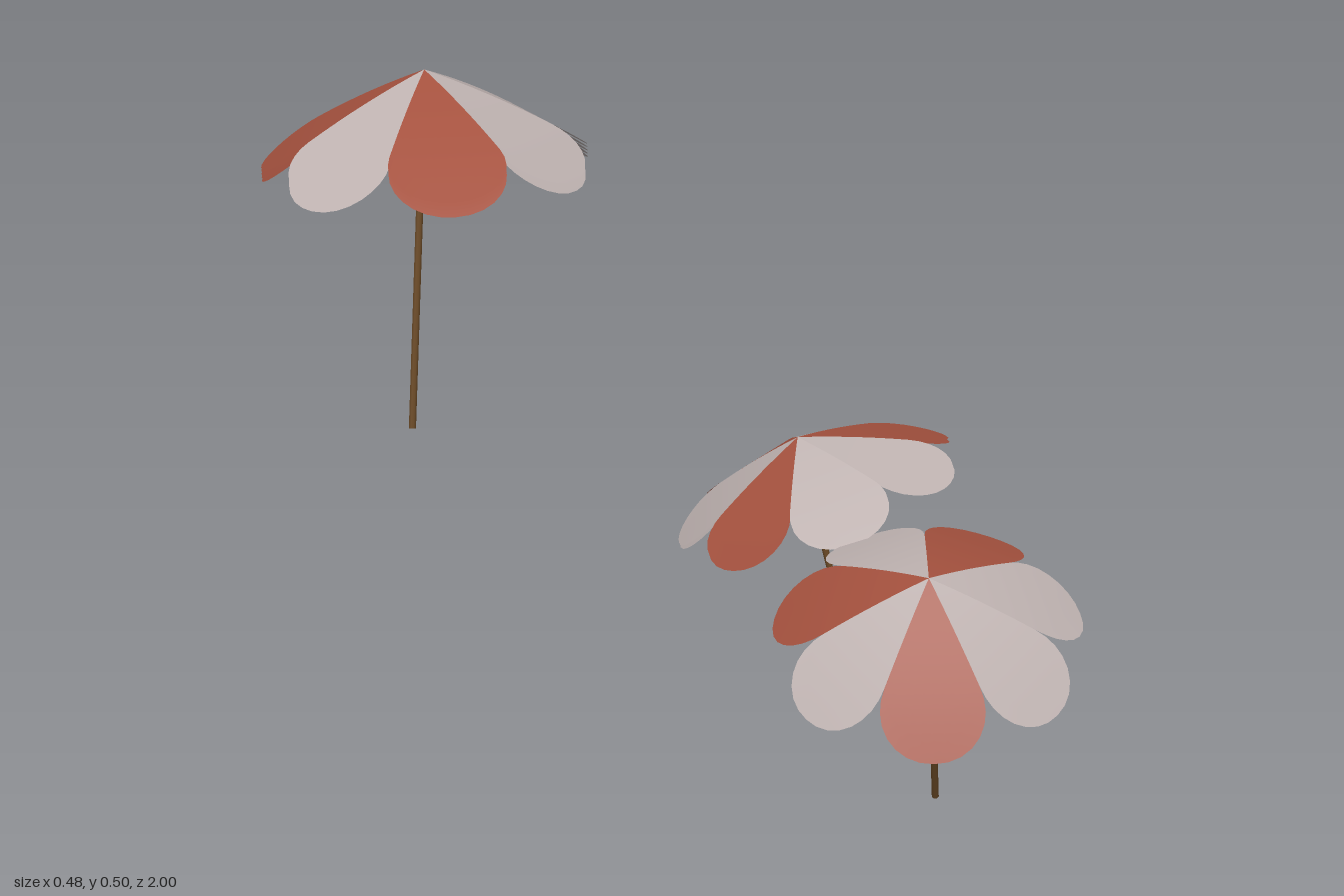
import * as THREE from 'three';

const material = (color, side = THREE.FrontSide) => new THREE.MeshStandardMaterial({ color, side });
const LOBES = 7, HALF = Math.PI / LOBES;
const ROWS = 8, COLS = 16;

// One scalloped canopy panel, centred on +z, with its apex at the origin.
function lobeGeometry(radius, depth, notchRatio) {
  const notch = radius * notchRatio;
  const pos = [], index = [];
  for (let i = 0; i <= ROWS; i++) {
    for (let j = 0; j <= COLS; j++) {
      const t = Math.sin((j / COLS - 0.5) * Math.PI);
      const rim = notch + (radius - notch) * Math.sqrt(Math.max(0, 1 - Math.abs(t) ** 2.3));
      const r = rim * i / ROWS, a = t * HALF;
      const s = r * Math.cos(a) / radius; // flat across, gently bowed outward
      pos.push(r * Math.sin(a), -depth * (0.75 * s + 0.25 * s * s), r * Math.cos(a));
      if (i < ROWS && j < COLS) {
        const k = i * (COLS + 1) + j, n = k + COLS + 1;
        index.push(k, n, n + 1);
        if (i > 0) index.push(k, n + 1, k + 1);
      }
    }
  }
  const g = new THREE.BufferGeometry();
  g.setAttribute('position', new THREE.Float32BufferAttribute(pos, 3));
  g.setIndex(index);
  g.computeVertexNormals();
  return g;
}

function parasol(name, { apex, foot, tilt, radius, notch, depths, start, poleRadius }, mats) {
  const group = new THREE.Group();
  group.name = name;
  const up = new THREE.Vector3(0, 1, 0);
  const top = new THREE.Vector3(...apex), base = new THREE.Vector3(...foot);
  const axis = top.clone().sub(base);
  const length = axis.length() - 0.012;
  axis.normalize();

  // Slanted pole
  const pole = new THREE.Mesh(new THREE.CylinderGeometry(poleRadius, poleRadius, length, 8), mats.wood);
  pole.name = 'pole';
  pole.quaternion.setFromUnitVectors(up, axis);
  pole.position.copy(base).addScaledVector(axis, length / 2);
  group.add(pole);

  // Canopy of seven panels, in one or more nested layers sharing the apex
  const canopy = new THREE.Group();
  canopy.name = 'canopy';
  canopy.position.copy(top);
  canopy.quaternion.setFromUnitVectors(up, new THREE.Vector3(...tilt).normalize());
  depths.forEach((depth) => {
    const geometry = lobeGeometry(radius, depth, notch);
    for (let i = 0; i < LOBES; i++) {
      const red = i > 1 && i % 2 === 0;
      const panel = new THREE.Mesh(geometry, red ? mats.red : mats.pale);
      panel.name = red ? 'redPanel' : 'palePanel';
      panel.rotation.y = THREE.MathUtils.degToRad(start) + i * 2 * HALF;
      canopy.add(panel);
    }
  });
  group.add(canopy);
  return group;
}

export function createModel() {
  const model = new THREE.Group();
  model.name = 'parasols';
  const mats = {
    red: material(0xa4513e, THREE.DoubleSide),
    pale: material(0xbfb3b1, THREE.DoubleSide),
    wood: material(0x6b4a26),
  };
  model.add(
    parasol('largeParasol', {
      apex: [0.002, 0.504, -0.776], foot: [-0.055, 0.002, -0.705], tilt: [-0.015, 1, -0.025],
      radius: 0.236, notch: 0.75, depths: [0.133, 0.138, 0.143, 0.148, 0.153], start: 38.5, poleRadius: 0.0055,
    }, mats),
    parasol('middleParasol', {
      apex: [-0.08, 0.39, 0.537], foot: [-0.01, 0.062, 0.577], tilt: [-0.3, 0.95, -0.125],
      radius: 0.165, notch: 0.7, depths: [0.074, 0.079], start: -13, poleRadius: 0.004,
    }, mats),
    parasol('frontParasol', {
      apex: [-0.106, 0.351, 0.887], foot: [-0.028, 0.042, 0.775], tilt: [-0.226, 0.9, 0.38],
      radius: 0.166, notch: 0.68, depths: [0.1], start: 25, poleRadius: 0.004,
    }, mats),
  );
  return model;
}
